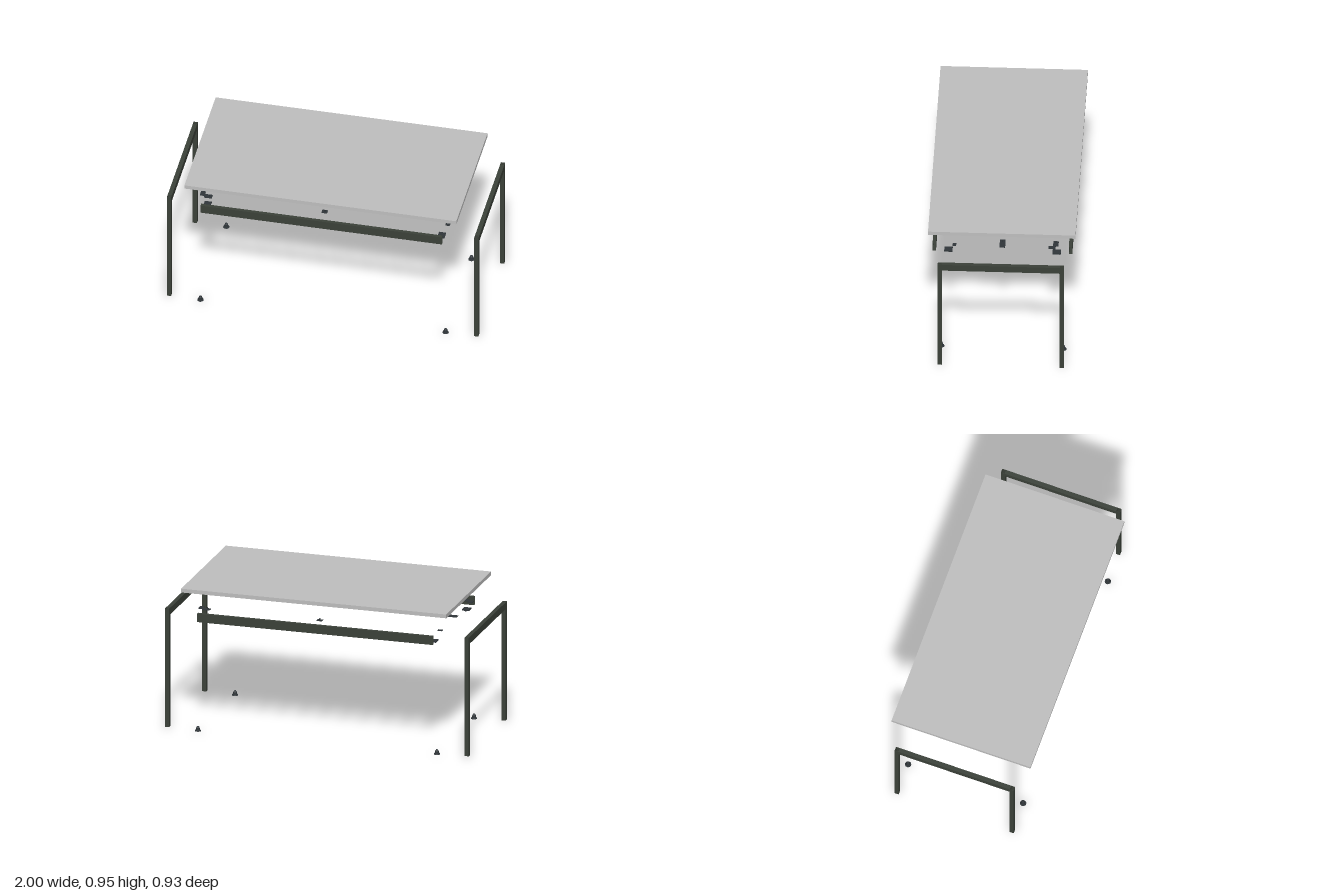
import * as THREE from 'three';

const steel = new THREE.MeshStandardMaterial({ color: 0x3b4139 });
steel.name = 'frame green grey';
const top = new THREE.MeshStandardMaterial({ color: 0xbfbfbf });
top.name = 'tabletop grey';
const dark = new THREE.MeshStandardMaterial({ color: 0x30363a });
dark.name = 'hardware dark grey';

function add(parent, name, geo, mat, x = 0, y = 0, z = 0) {
  const m = new THREE.Mesh(geo, mat);
  m.name = name;
  m.position.set(x, y, z);
  parent.add(m);
  return m;
}
const box = (w, h, d) => new THREE.BoxGeometry(w, h, d);
const cyl = (r0, r1, h, n = 16) => new THREE.CylinderGeometry(r0, r1, h, n);

function rectShape(w, h) {
  const s = new THREE.Shape();
  s.moveTo(-w / 2, -h / 2).lineTo(w / 2, -h / 2).lineTo(w / 2, h / 2).lineTo(-w / 2, h / 2).closePath();
  return s;
}

// open rectangular tube along x with two drilled holes through both side walls
function drilledTube(name, length, height, depth, wall) {
  const g = new THREE.Group();
  g.name = name;
  const side = rectShape(length, height);
  for (const x of [-0.1, 0.1]) {
    const hole = new THREE.Path();
    hole.absarc(x, 0, 0.003, 0, Math.PI * 2, true);
    side.holes.push(hole);
  }
  const geo = new THREE.ExtrudeGeometry(side, { depth: wall, bevelEnabled: false, curveSegments: 8 });
  add(g, name + 'Side', geo, steel, 0, 0, depth / 2 - wall);
  add(g, name + 'Side', geo, steel, 0, 0, -depth / 2);
  for (const s of [-1, 1])
    add(g, name + 'Wall', box(length, wall, depth - 2 * wall), steel, 0, s * (height - wall) / 2, 0);
  return g;
}

// open square tube standing upright
function legGeometry(w, h, wall) {
  const s = rectShape(w, w);
  s.holes.push(new THREE.Path(rectShape(w - 2 * wall, w - 2 * wall).getPoints().reverse()));
  return new THREE.ExtrudeGeometry(s, { depth: h, bevelEnabled: false }).rotateX(-Math.PI / 2);
}

export function createModel() {
  const model = new THREE.Group();
  model.name = 'explodedTable';

  add(model, 'tabletop', box(1.746, 0.025, 0.926), top, 0, 0.9405, 0);

  // end frames: two legs and a cross beam each
  const leg = legGeometry(0.027, 0.78, 0.002);
  for (const s of [-1, 1]) {
    const frame = new THREE.Group();
    frame.name = 'endFrame';
    frame.position.x = s * 0.9865;
    for (const t of [-1, 1]) add(frame, 'leg', leg, steel, 0, 0.01, t * 0.3835);
    const beam = drilledTube('crossBeam', 0.74, 0.044, 0.027, 0.002);
    beam.rotation.y = Math.PI / 2;
    beam.position.y = 0.768;
    frame.add(beam);
    model.add(frame);
  }

  // long rails
  for (const s of [-1, 1]) {
    const rail = drilledTube('longRail', 1.55, 0.055, 0.022, 0.002);
    rail.position.set(0, 0.7625, s * 0.428);
    model.add(rail);
  }

  // levelling feet and corner brackets
  for (const sx of [-1, 1]) for (const sz of [-1, 1]) {
    const foot = new THREE.Group();
    foot.name = 'foot';
    foot.position.set(sx * 0.787, 0, sz * 0.3835);
    add(foot, 'footDisc', cyl(0.018, 0.02, 0.006, 20), dark, 0, 0.003, 0);
    add(foot, 'footNeck', cyl(0.011, 0.013, 0.016), dark, 0, 0.014, 0);
    add(foot, 'footCap', cyl(0.006, 0.011, 0.009), dark, 0, 0.0265, 0);
    model.add(foot);

    const bracket = new THREE.Group();
    bracket.name = 'cornerBracket';
    bracket.position.set(sx * 0.752, 0.731, sz * 0.34);
    add(bracket, 'bracketPlate', box(0.045, 0.008, 0.052), dark);
    for (const t of [-1, 1]) add(bracket, 'bracketBolt', cyl(0.006, 0.004, 0.008, 10), dark, 0, -0.007, t * 0.017);
    model.add(bracket);
  }

  // fixing plates with studs, and the screws floating above them, paired by a half turn
  for (const s of [-1, 1]) {
    const spots = [[0, s * 0.335], [s * 0.74, 0], [s * 0.74, -s * 0.335]];
    for (const [x, z] of spots) {
      add(model, 'stud', cyl(0.0035, 0.0035, 0.012, 10), dark, x, 0.798, z);
      add(model, 'screw', cyl(0.005, 0.005, 0.012, 10), dark, x, 0.911, z);
    }
    add(model, 'railPlate', box(0.036, 0.004, 0.03), dark, 0, 0.791, s * 0.335);
    add(model, 'beamPlate', box(0.08, 0.004, 0.036), dark, s * 0.76, 0.791, 0);
    add(model, 'cornerPlate', box(0.05, 0.004, 0.034), dark, s * 0.747, 0.791, -s * 0.335);
    add(model, 'cornerPlateTab', box(0.03, 0.004, 0.045), dark, s * 0.787, 0.791, -s * 0.3125);
    add(model, 'smallPlate', box(0.028, 0.004, 0.022), dark, s * 0.783, 0.791, s * 0.301);
  }
  return model;
}
